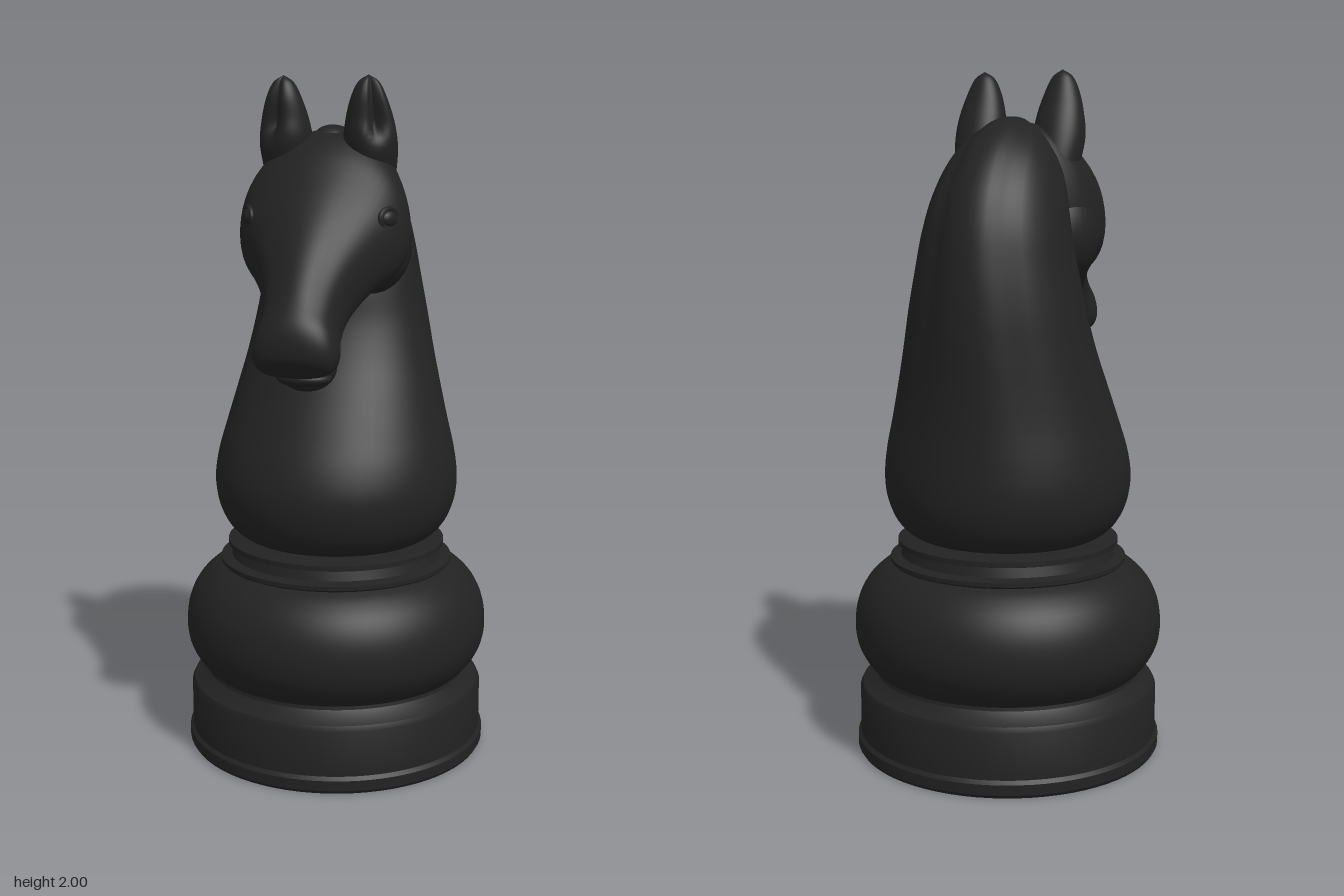
import * as THREE from 'three';
import { toCreasedNormals } from 'three/addons/utils/BufferGeometryUtils.js';

const material = new THREE.MeshStandardMaterial({ color: 0x222222, roughness: 0.6 });

function add(parent, name, geometry, x = 0, y = 0, z = 0) {
  const mesh = new THREE.Mesh(geometry, material);
  mesh.name = name;
  mesh.position.set(x, y, z);
  parent.add(mesh);
  return mesh;
}

const bump = (a, centre, width) => Math.exp(-(((a - centre) / width) ** 2));

// Smooth skin over oval rings [z1, y1, z2, y2, halfWidth]: each ring spans two
// points of the side outline. shape(a, t) returns [overall scale, width scale].
function loft(rings, steps, sides, shape = () => [1, 1]) {
  const curve = (f) => new THREE.CatmullRomCurve3(rings.map(f), false, 'catmullrom', 0.5);
  const first = curve((r) => new THREE.Vector3(0, r[1], r[0]));
  const second = curve((r) => new THREE.Vector3(0, r[3], r[2]));
  const widths = curve((r, i) => new THREE.Vector3(r[4], i, 0));
  const pos = [], index = [];
  for (let i = 0; i <= steps; i++) {
    const t = i / steps;
    const p = first.getPoint(t), q = second.getPoint(t);
    const w = Math.max(0, widths.getPoint(t).x);
    const mid = p.clone().add(q).multiplyScalar(0.5);
    const half = p.sub(q).multiplyScalar(0.5);
    for (let j = 0; j < sides; j++) {
      const a = (j / sides) * Math.PI * 2;
      const [s, ws] = shape(a > Math.PI ? a - Math.PI * 2 : a, t);
      const c = Math.cos(a) * s;
      pos.push(w * Math.sin(a) * s * ws, mid.y + half.y * c, mid.z + half.z * c);
      if (i < steps) {
        const k = i * sides + j, n = i * sides + ((j + 1) % sides);
        index.push(k, n, n + sides, k, n + sides, k + sides);
      }
    }
  }
  const geometry = new THREE.BufferGeometry();
  geometry.setAttribute('position', new THREE.Float32BufferAttribute(pos, 3));
  geometry.setIndex(index);
  geometry.computeVertexNormals();
  return geometry;
}

function ellipsoid(rx, ry, rz) {
  return new THREE.SphereGeometry(1, 32, 20).scale(rx, ry, rz);
}

// Turned pedestal: plinth, rounded cushion and stepped collar
function pedestal() {
  const bulge = new THREE.SplineCurve([
    [0.393, 0.24], [0.425, 0.275], [0.45, 0.325], [0.457, 0.385],
    [0.447, 0.45], [0.42, 0.505], [0.38, 0.545], [0.345, 0.565],
  ].map(([x, y]) => new THREE.Vector2(x, y))).getPoints(24);
  const low = [[0, 0.02], [0.41, 0.02], [0.42, 0], [0.448, 0], [0.454, 0.01], [0.454, 0.04],
    [0.445, 0.05], [0.445, 0.185], [0.438, 0.2], [0.41, 0.215], [0.395, 0.23]];
  const high = [[0.35, 0.57], [0.35, 0.582], [0.318, 0.588], [0.31, 0.615],
    [0.327, 0.62], [0.327, 0.635], [0.3, 0.642], [0.25, 0.648], [0, 0.65]];
  const v = (list) => list.map(([x, y]) => new THREE.Vector2(x, y));
  return toCreasedNormals(new THREE.LatheGeometry([...v(low), ...bulge, ...v(high)], 72), 0.5);
}

export function createModel() {
  const model = new THREE.Group();
  model.name = 'chessKnight';
  add(model, 'pedestal', pedestal(), 0, 0, -0.043);

  // Neck, narrowing to a crest with a shallow groove on each side of the mane
  const neck = [
    [0.2, 0.635, -0.29, 0.635, 0.245],
    [0.25, 0.66, -0.34, 0.66, 0.295],
    [0.285, 0.70, -0.375, 0.70, 0.332],
    [0.305, 0.76, -0.395, 0.76, 0.357],
    [0.308, 0.83, -0.4, 0.83, 0.365],
    [0.285, 0.91, -0.396, 0.91, 0.355],
    [0.24, 1.0, -0.39, 1.0, 0.332],
    [0.185, 1.1, -0.388, 1.1, 0.306],
    [0.13, 1.2, -0.388, 1.21, 0.28],
    [0.09, 1.3, -0.386, 1.33, 0.257],
    [0.07, 1.4, -0.375, 1.45, 0.235],
    [0.05, 1.47, -0.35, 1.57, 0.217],
    [0.05, 1.53, -0.3, 1.68, 0.2],
    [0.06, 1.58, -0.22, 1.775, 0.18],
    [0.08, 1.62, -0.12, 1.84, 0.155],
    [0.1, 1.66, -0.02, 1.864, 0.12],
    [0.13, 1.68, 0.06, 1.85, 0.08],
    [0.11, 1.74, 0.09, 1.77, 0],
  ];
  add(model, 'neck', loft(neck, 90, 64, (a, t) => {
    const k = THREE.MathUtils.smoothstep(t, 0.2, 0.7);
    const groove = bump(Math.abs(a), Math.PI - 0.55, 0.17);
    return [1 - 0.05 * k * groove, 1 + 0.16 * k * Math.cos(a)];
  }));

  // Head, from the poll to the muzzle; each ring runs from jaw to brow
  const head = [
    [-0.09, 1.66, -0.08, 1.70, 0],
    [-0.09, 1.53, -0.06, 1.81, 0.13],
    [-0.05, 1.45, 0.0, 1.85, 0.195],
    [0.01, 1.41, 0.07, 1.84, 0.23],
    [0.07, 1.395, 0.135, 1.795, 0.245],
    [0.125, 1.38, 0.2, 1.725, 0.228],
    [0.175, 1.365, 0.27, 1.645, 0.187],
    [0.22, 1.33, 0.34, 1.56, 0.145],
    [0.265, 1.29, 0.4, 1.48, 0.117],
    [0.32, 1.245, 0.45, 1.412, 0.109],
    [0.37, 1.212, 0.487, 1.358, 0.118],
    [0.41, 1.2, 0.5, 1.31, 0.112],
    [0.445, 1.203, 0.497, 1.262, 0.083],
    [0.478, 1.228, 0.48, 1.232, 0],
  ];
  add(model, 'head', loft(head, 72, 56, (a, t) => {
    // slightly boxy cheeks, with a raised bridge along the face
    const square = 1 + 0.05 * Math.sin(2 * a) ** 2;
    const hollow = 0.05 * bump(Math.abs(a), Math.PI - 0.6, 0.3) * bump(t, 0.55, 0.25);
    return [square - hollow, 1 + 0.1 * Math.cos(a)];
  }));

  // Lower jaw and lip
  add(model, 'chin', ellipsoid(0.086, 0.07, 0.062), 0, 1.215, 0.315);
  add(model, 'lowerLip', ellipsoid(0.078, 0.026, 0.055), 0, 1.187, 0.34);

  const earRings = [
    [0.10, 1.72, -0.045, 1.69, 0.065],
    [0.13, 1.82, -0.025, 1.78, 0.077],
    [0.128, 1.885, 0.0, 1.855, 0.07],
    [0.125, 1.94, 0.035, 1.93, 0.052],
    [0.11, 1.98, 0.06, 1.98, 0.03],
    [0.088, 2.0, 0.082, 2.0, 0],
  ];
  for (const side of [1, -1]) {
    const prefix = side > 0 ? 'left' : 'right';

    // Ear with a hollow facing forward and outward
    add(model, prefix + 'Ear', loft(earRings, 30, 40, (a, t) => {
      const depth = 0.55 * THREE.MathUtils.smoothstep(t, 0.12, 0.4);
      return [1 - depth * bump(a * side, 0.5, 0.38), 1];
    }), side * 0.122);

    add(model, prefix + 'Cheek', ellipsoid(0.115, 0.145, 0.135), side * 0.128, 1.535, 0.055);

    // Eye: ball with an almond rim
    const eye = new THREE.Group();
    eye.name = prefix + 'Eye';
    eye.position.set(side * 0.2, 1.61, 0.18);
    eye.rotation.set(0, side * 1.05, 0);
    add(eye, 'eyeball', ellipsoid(0.03, 0.024, 0.018));
    add(eye, 'eyelid', new THREE.TorusGeometry(0.032, 0.008, 10, 32).scale(1.05, 0.88, 1));
    model.add(eye);

    // Flared nostril rim
    const nostril = add(model, prefix + 'Nostril',
      new THREE.TorusGeometry(0.024, 0.01, 10, 28).scale(0.85, 1.15, 1), side * 0.088, 1.277, 0.462);
    nostril.rotation.set(0, side * 0.85, side * -0.3);
  }
  return model;
}
